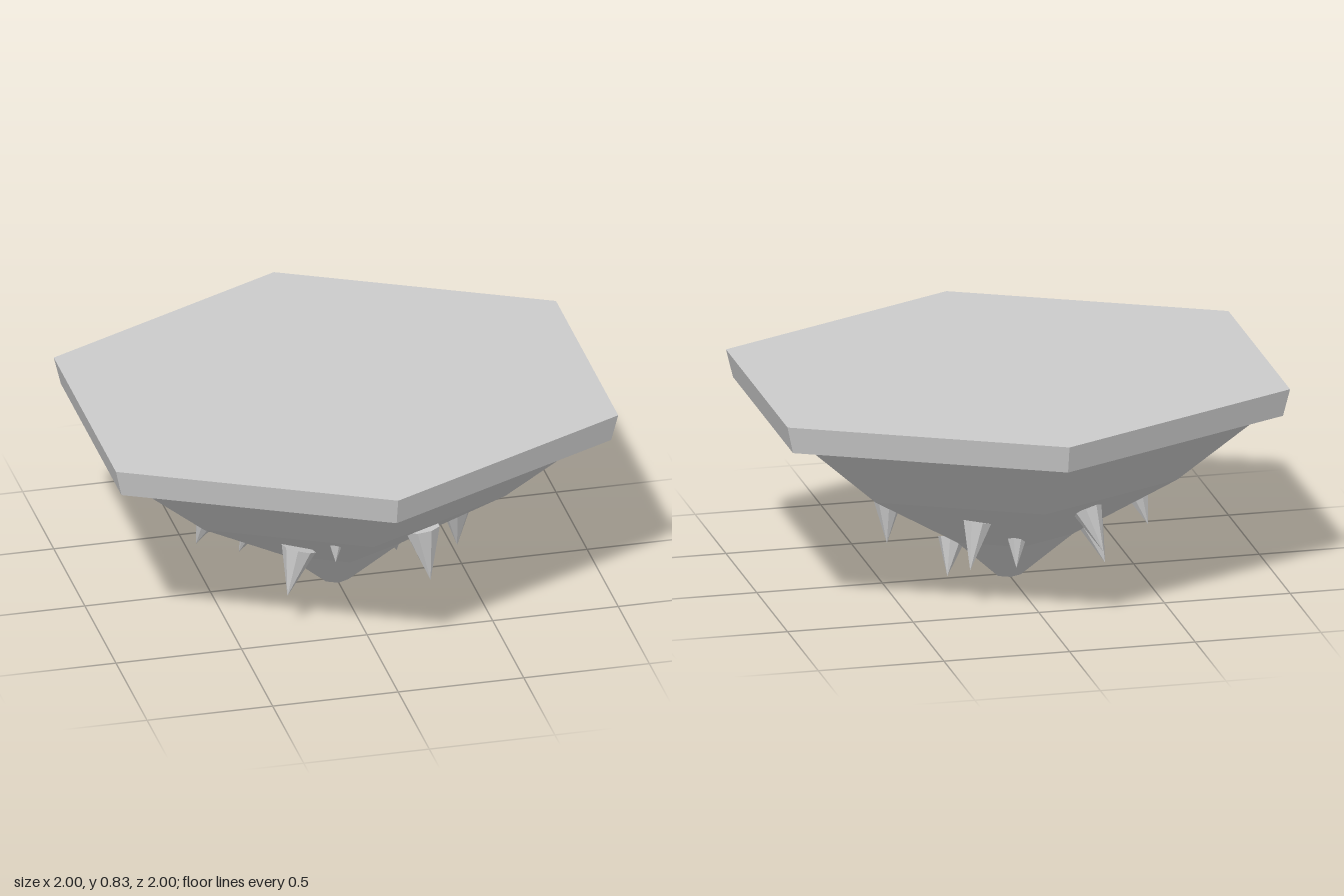
import * as THREE from 'three';

const material = new THREE.MeshStandardMaterial({ color: 0xcccccc, flatShading: true });
// stretches a regular hexagon so that it is as wide as it is deep
const STRETCH = 1 / Math.cos(Math.PI / 6);

function addMesh(parent, name, geometry) {
  const mesh = new THREE.Mesh(geometry, material);
  mesh.name = name;
  parent.add(mesh);
  return mesh;
}

// Cone running from the centre of its base to its tip
function spikeGeometry(base, tip, radius) {
  const a = new THREE.Vector3(...base);
  const axis = new THREE.Vector3(...tip).sub(a);
  const length = axis.length();
  const geometry = new THREE.ConeGeometry(radius, length, 8);
  geometry.translate(0, length / 2, 0);
  geometry.applyQuaternion(
    new THREE.Quaternion().setFromUnitVectors(new THREE.Vector3(0, 1, 0), axis.normalize()));
  return geometry.translate(a.x, a.y, a.z);
}

export function createModel() {
  const model = new THREE.Group();
  model.name = 'floatingPlatform';

  // Hexagonal slab with slightly tapering sides
  const slab = new THREE.CylinderGeometry(1, 0.975, 0.11, 6);
  slab.scale(STRETCH, 1, 1).translate(0, 0.775, 0);
  addMesh(model, 'topSlab', slab);

  // Faceted rock narrowing to a small flat foot
  const profile = [[0, 0], [0.045, 0], [0.23, 0.18], [0.6, 0.43], [0.905, 0.72]]
    .map(([r, y]) => new THREE.Vector2(r, y));
  const rock = new THREE.LatheGeometry(profile, 6).scale(STRETCH, 1, 1);
  addMesh(model, 'rockUnderside', rock);

  // Stalactites: base centre, tip, radius
  const spikes = new THREE.Group();
  spikes.name = 'stalactites';
  model.add(spikes);
  [
    [[0.25, 0.37, 0.37], [0.275, 0.16, 0.41], 0.072],
    [[0.45, 0.335, 0.11], [0.46, 0.13, 0.09], 0.068],
    [[-0.235, 0.33, 0.35], [-0.29, 0.15, 0.39], 0.068],
    [[-0.115, 0.4, 0.46], [-0.12, 0.32, 0.48], 0.03],
    [[-0.49, 0.35, -0.03], [-0.54, 0.18, -0.07], 0.065],
    [[0.235, 0.18, -0.05], [0.265, 0.04, -0.095], 0.055],
    [[0.03, 0.24, -0.265], [0.04, 0.12, -0.3], 0.042],
    [[-0.3, 0.22, -0.12], [-0.345, 0.07, -0.17], 0.05],
    [[-0.22, 0.37, -0.385], [-0.27, 0.21, -0.45], 0.06],
    [[0.21, 0.34, -0.36], [0.25, 0.16, -0.405], 0.058],
  ].forEach((s, i) => addMesh(spikes, `stalactite${i + 1}`, spikeGeometry(...s)));

  return model;
}
